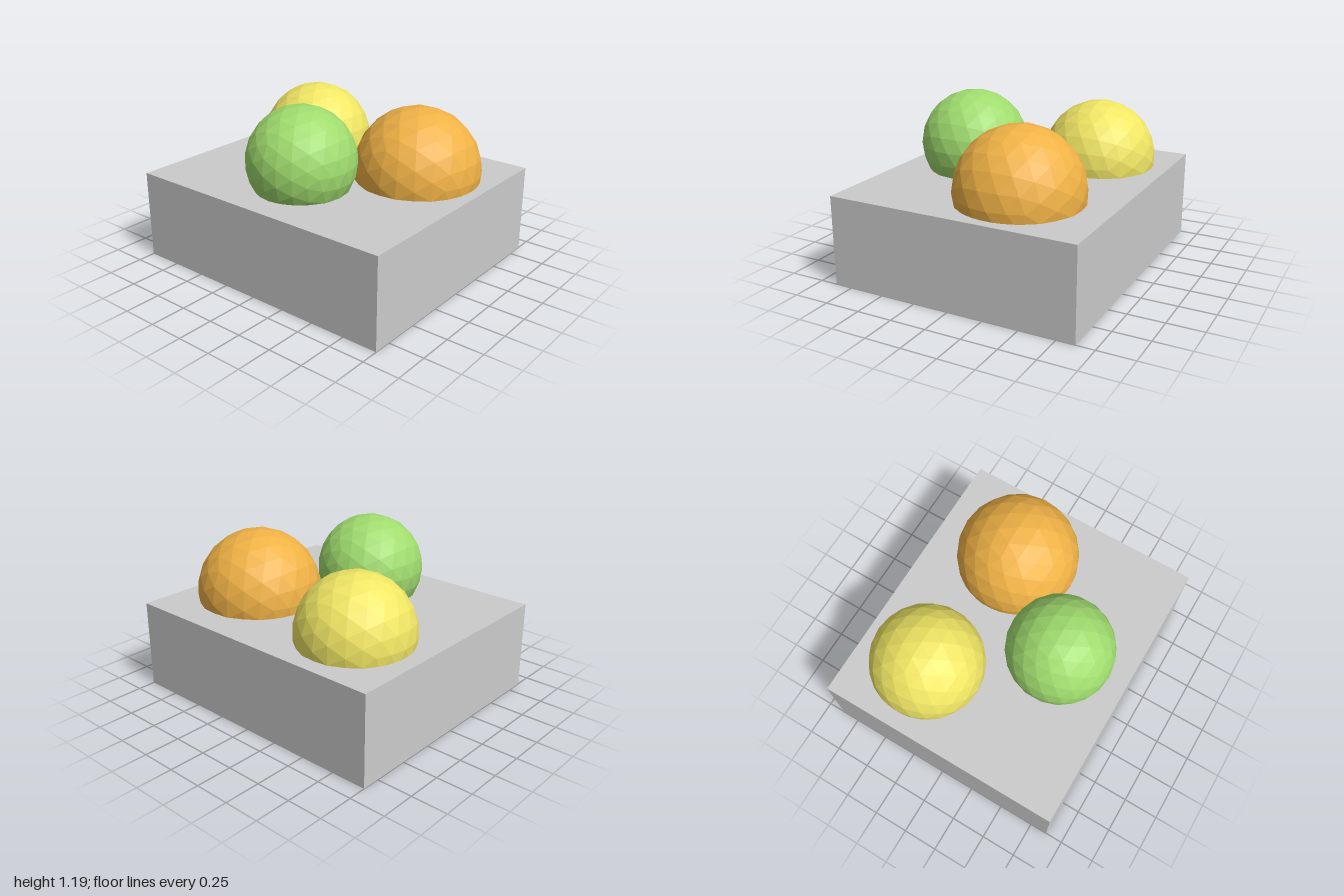
import * as THREE from 'three';

const BASE = { width: 2, height: 0.625, depth: 1.75 };

// Faceted balls partly sunk into the base
const BALLS = [
  { name: 'greenBall', color: 0xa0dc6e, radius: 0.375, position: [0, 0.8125, 0.375] },
  { name: 'orangeBall', color: 0xf0b246, radius: 0.4375, position: [0.5, 0.6875, -0.25] },
  { name: 'yellowBall', color: 0xf0e664, radius: 0.4, position: [-0.5, 0.6875, -0.375] },
];

export function createModel() {
  const group = new THREE.Group();
  group.name = 'ballsOnBlock';

  // Solid block standing on the ground
  const base = new THREE.Mesh(
    new THREE.BoxGeometry(BASE.width, BASE.height, BASE.depth),
    new THREE.MeshStandardMaterial({ color: 0xcccccc })
  );
  base.name = 'baseBlock';
  base.position.y = BASE.height / 2;
  group.add(base);

  for (const { name, color, radius, position } of BALLS) {
    const ball = new THREE.Mesh(
      new THREE.IcosahedronGeometry(radius, 3),
      new THREE.MeshStandardMaterial({ color, flatShading: true })
    );
    ball.name = name;
    ball.position.set(...position);
    group.add(ball);
  }

  return group;
}
